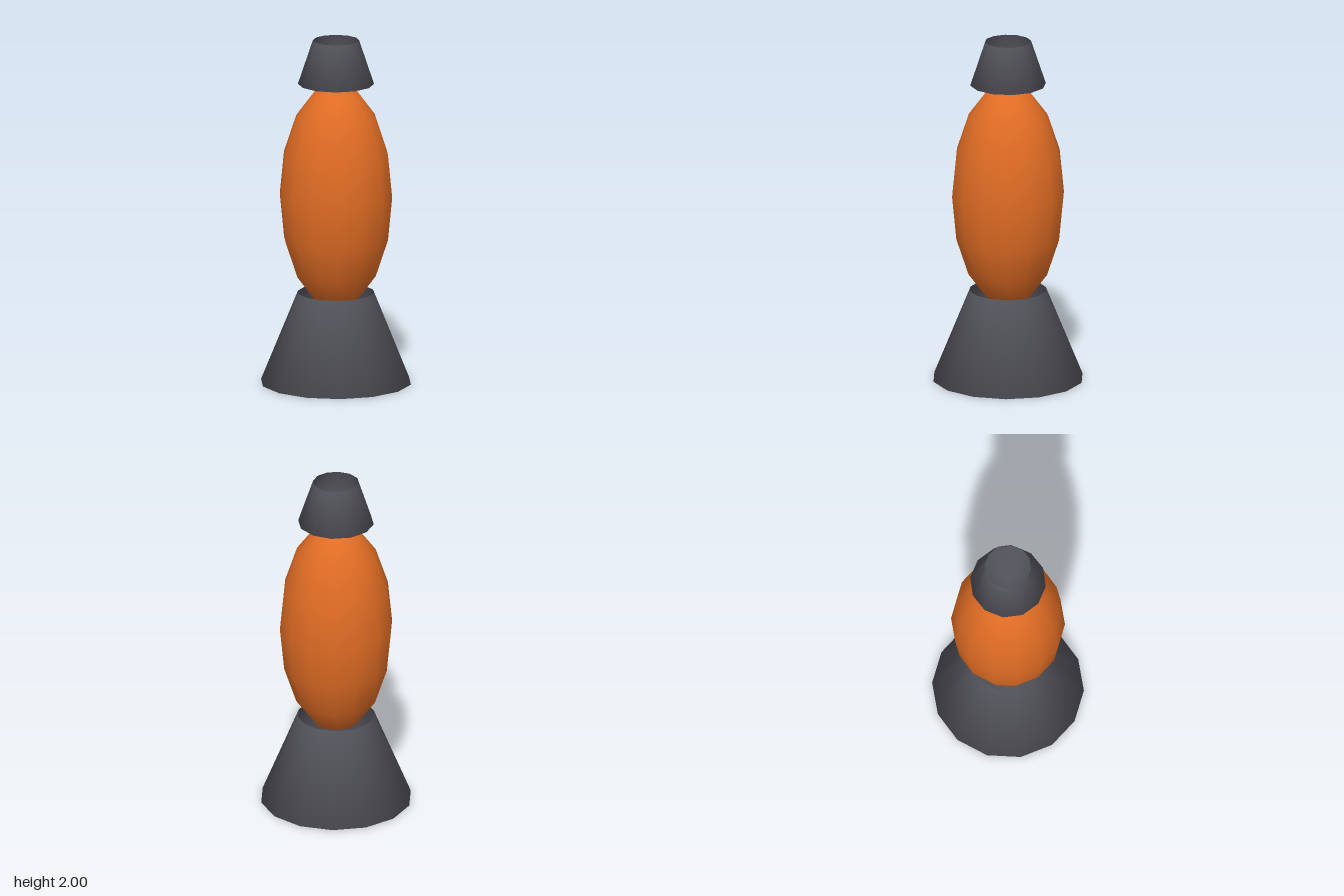
import * as THREE from 'three';
import { mergeVertices } from 'three/addons/utils/BufferGeometryUtils.js';

const darkGrey = new THREE.MeshStandardMaterial({ color: 0x54545c, side: THREE.DoubleSide });
darkGrey.name = 'darkGrey';
const orange = new THREE.MeshStandardMaterial({ color: 0xe06c24 });
orange.name = 'orange';

// Tapered cup: closed bottom, open top, normals smoothed over the bottom edge
function taperedCup(bottomRadius, topRadius, height, sides) {
  const profile = [[0, 0], [bottomRadius, 0], [topRadius, height]].map(([r, y]) => new THREE.Vector2(r, y));
  const lathe = new THREE.LatheGeometry(profile, sides);
  lathe.deleteAttribute('normal');
  lathe.deleteAttribute('uv');
  const geometry = mergeVertices(lathe, 1e-4);
  geometry.computeVertexNormals();
  return geometry;
}

export function createModel() {
  const group = new THREE.Group();
  group.name = 'lamp';

  function add(name, geometry, material, y) {
    const mesh = new THREE.Mesh(geometry, material);
    mesh.name = name;
    mesh.position.y = y;
    group.add(mesh);
  }

  // Wide foot holding the bulb
  add('base', taperedCup(0.433, 0.22, 0.525, 14), darkGrey, 0);

  // Stretched ball with corners on the z axis
  const bulb = new THREE.SphereGeometry(1, 14, 8);
  bulb.rotateY(Math.PI / 2);
  bulb.scale(0.325, 0.655, 0.325);
  add('bulb', bulb, orange, 1.09);

  // Small cup resting on the tip of the bulb
  add('cap', taperedCup(0.217, 0.132, 0.255, 12), darkGrey, 1.745);

  return group;
}
